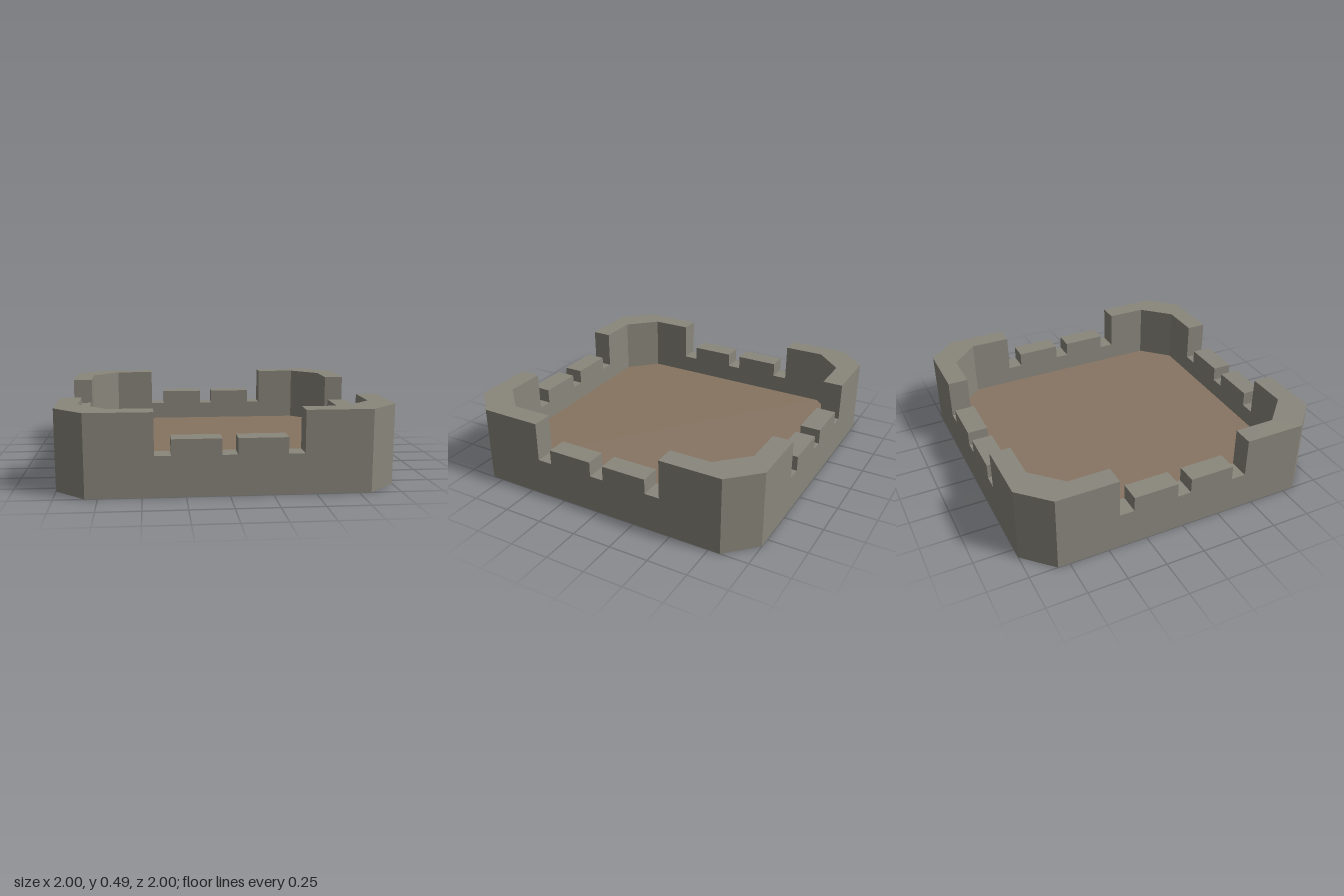
import * as THREE from 'three';

const LOW = 0.24, MID = 0.335, HIGH = 0.49, FLOOR = 0.12;
const OUT = 1, IN = 0.87, OUT_CUT = 0.823, IN_CUT = 0.693;

// A station is a slice across the wall: outer and inner [x, z]
const onFront = (x) => ({ o: [x, OUT], i: [x, IN] });
const cornerStart = { o: [OUT_CUT, OUT], i: [IN_CUT, IN] };
const turn = ([x, z]) => [z, -x];
const turned = (s) => ({ o: turn(s.o), i: turn(s.i) });
const nextCorner = turned({ o: [-OUT_CUT, OUT], i: [-IN_CUT, IN] });

// Hollow run of wall through the stations: outer face, inner face, top and optional ends
function wallRun(stations, outerBase, innerBase, top, ends) {
  const pos = [];
  const quad = (...c) => {
    for (const k of [0, 1, 2, 0, 2, 3]) pos.push(c[k][0][0], c[k][1], c[k][0][1]);
  };
  for (let n = 0; n < stations.length - 1; n++) {
    const a = stations[n], b = stations[n + 1];
    quad([a.o, outerBase], [b.o, outerBase], [b.o, top], [a.o, top]);
    quad([b.i, innerBase], [a.i, innerBase], [a.i, top], [b.i, top]);
    quad([a.o, top], [b.o, top], [b.i, top], [a.i, top]);
  }
  if (ends) {
    const a = stations[0], b = stations[stations.length - 1];
    quad([a.i, innerBase], [a.o, outerBase], [a.o, top], [a.i, top]);
    quad([b.o, outerBase], [b.i, innerBase], [b.i, top], [b.o, top]);
  }
  const geo = new THREE.BufferGeometry();
  geo.setAttribute('position', new THREE.Float32BufferAttribute(pos, 3));
  geo.computeVertexNormals();
  return geo;
}

export function createModel() {
  const model = new THREE.Group();
  model.name = 'battlementRoof';
  const stone = new THREE.MeshStandardMaterial({ color: 0x8a877c, side: THREE.DoubleSide });
  stone.name = 'grey stone';
  const earth = new THREE.MeshStandardMaterial({ color: 0x877462, side: THREE.DoubleSide });
  earth.name = 'brown floor';

  const add = (name, geo, mat, parent = model) => {
    const mesh = new THREE.Mesh(geo, mat);
    mesh.name = name;
    parent.add(mesh);
    return mesh;
  };

  // One side and the corner after it, repeated around the square
  const frontStart = { o: [-OUT_CUT, OUT], i: [-IN_CUT, IN] };
  const base = wallRun([frontStart, cornerStart, nextCorner], 0, FLOOR, LOW, false);
  const corner = wallRun(
    [onFront(0.43), cornerStart, nextCorner, turned(onFront(-0.43))], LOW, LOW, HIGH, true);
  const merlons = [-1, 1].map((s) =>
    wallRun([onFront(s * 0.19 - 0.145), onFront(s * 0.19 + 0.145)], LOW, LOW, MID, true));

  for (let k = 0; k < 4; k++) {
    const side = new THREE.Group();
    side.name = 'wallSide' + (k + 1);
    side.rotation.y = k * Math.PI / 2;
    add('baseWall', base, stone, side);
    add('cornerParapet', corner, stone, side);
    merlons.forEach((m) => add('merlon', m, stone, side));
    model.add(side);
  }

  // Floor with cut corners, fitted inside the walls
  const outline = [];
  let p = [-IN_CUT, IN], q = [IN_CUT, IN];
  for (let k = 0; k < 4; k++) {
    outline.push(new THREE.Vector2(p[0], -p[1]), new THREE.Vector2(q[0], -q[1]));
    p = turn(p);
    q = turn(q);
  }
  const floorGeo = new THREE.ShapeGeometry(new THREE.Shape(outline));
  floorGeo.rotateX(-Math.PI / 2);
  add('floor', floorGeo, earth).position.y = FLOOR;

  return model;
}
